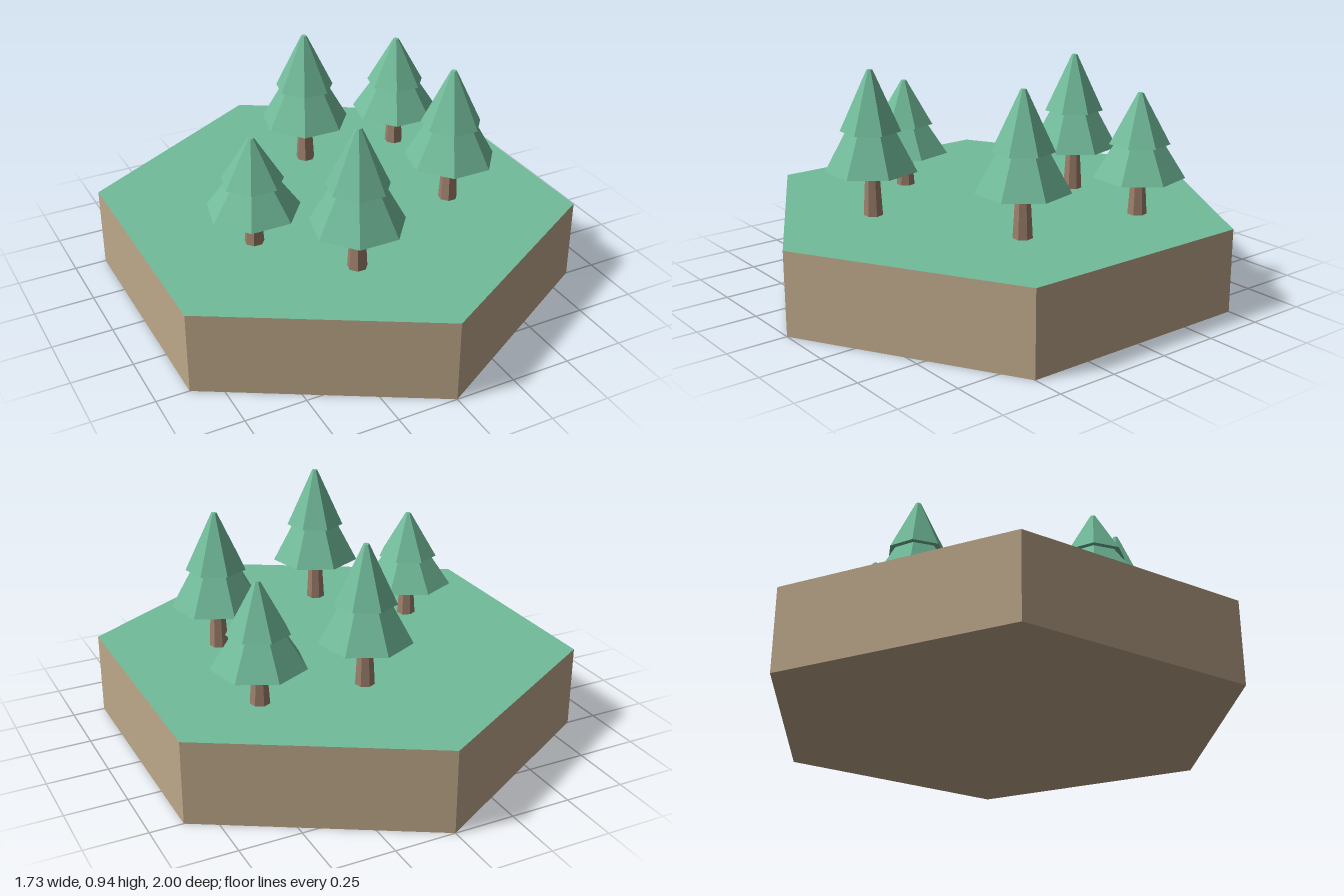
import * as THREE from 'three';

const SLAB_TOP = 0.345;

function material(name, color) {
  const m = new THREE.MeshStandardMaterial({ color, flatShading: true });
  m.name = name;
  return m;
}

export function createModel() {
  const green = material('leafGreen', 0x72bc9b);
  const earth = material('earthBrown', 0xbda78a);
  const bark = material('barkBrown', 0x9c7f6b);

  const model = new THREE.Group();
  model.name = 'forestTile';

  // Hexagonal block of earth with a grass top, corners at front and back
  const slab = new THREE.Mesh(
    new THREE.CylinderGeometry(1, 1, SLAB_TOP, 6),
    [earth, green, earth]
  );
  slab.name = 'groundTile';
  slab.position.y = SLAB_TOP / 2;
  model.add(slab);

  // Tapered seven-sided section between two heights
  function section(name, rTop, rBottom, y0, y1, mat) {
    const mesh = new THREE.Mesh(new THREE.CylinderGeometry(rTop, rBottom, y1 - y0, 7), mat);
    mesh.name = name;
    mesh.position.y = (y0 + y1) / 2;
    return mesh;
  }

  // Tree: trunk and two foliage tiers, with a flat side to the front
  function tree(x, z, skirt, tip) {
    const split = skirt + 0.4 * (tip - skirt);
    const group = new THREE.Group();
    group.name = 'tree';
    group.add(
      section('trunk', 0.028, 0.04, SLAB_TOP, skirt + 0.01, bark),
      section('lowerFoliage', 0.1, 0.189, skirt, split + 0.002, green),
      section('upperFoliage', 0.012, 0.125, split, tip, green)
    );
    group.position.set(x, 0, z);
    group.rotation.y = Math.PI;
    return group;
  }

  // x, z, foliage bottom, tip height
  const trees = [
    [-0.435, 0.155, 0.495, 0.805],
    [-0.157, 0.5, 0.536, 0.94],
    [0.053, -0.383, 0.535, 0.927],
    [0.432, 0.205, 0.534, 0.924],
    [0.485, -0.349, 0.505, 0.843],
  ];
  for (const t of trees) model.add(tree(...t));

  return model;
}
